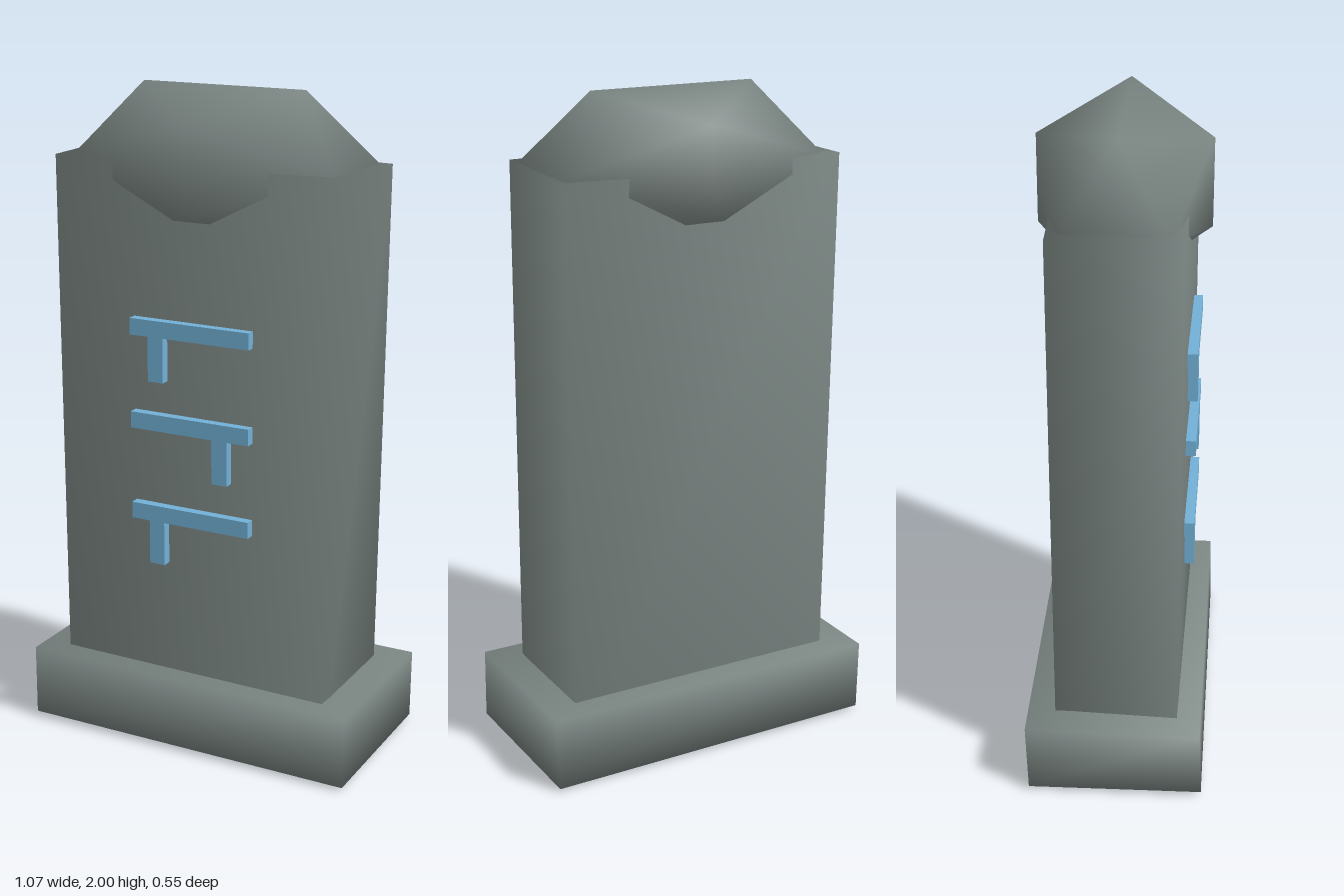
import * as THREE from 'three';
import { mergeVertices } from 'three/addons/utils/BufferGeometryUtils.js';

const stone = new THREE.MeshStandardMaterial({ color: 0x7a8582 });
stone.name = 'greyStone';
const rune = new THREE.MeshStandardMaterial({ color: 0x72b0d6 });
rune.name = 'paleBlueRune';

// Corner order: x, then y, then z, each low before high
const BLOCK_FACES = [
  1, 3, 0, 4, 1, 0, 0, 3, 2, 2, 4, 0, 1, 7, 3, 5, 1, 4,
  5, 7, 1, 3, 7, 2, 6, 4, 2, 2, 7, 6, 6, 5, 4, 7, 5, 6,
];

// Rough-hewn block with smooth normals shared at its eight corners
function roughBlock(corners) {
  const geometry = new THREE.BufferGeometry();
  geometry.setAttribute('position', new THREE.Float32BufferAttribute(corners.flat(), 3));
  geometry.setIndex(BLOCK_FACES);
  geometry.computeVertexNormals();
  return geometry;
}

function addMesh(parent, name, geometry, material) {
  const mesh = new THREE.Mesh(geometry, material);
  mesh.name = name;
  parent.add(mesh);
  return mesh;
}

export function createModel() {
  const model = new THREE.Group();
  model.name = 'standingStone';

  // Plinth
  addMesh(model, 'base', roughBlock([
    [-0.535, 0.012, -0.255], [-0.53, 0.018, 0.27],
    [-0.535, 0.232, -0.262], [-0.535, 0.235, 0.262],
    [0.525, 0.01, -0.275], [0.53, 0.012, 0.265],
    [0.53, 0.23, -0.268], [0.53, 0.23, 0.26],
  ]), stone);

  // Upright slab, one lower corner reaching just below the plinth
  addMesh(model, 'slab', roughBlock([
    [-0.435, 0, -0.18], [-0.45, 0.01, 0.19],
    [-0.46, 1.795, -0.18], [-0.455, 1.795, 0.19],
    [0.43, 0.011, -0.19], [0.43, 0.02, 0.195],
    [0.445, 1.778, -0.2], [0.425, 1.79, 0.197],
  ]), stone);

  // Faceted boulder cap with smooth normals
  let cap = new THREE.IcosahedronGeometry(1, 0);
  cap.deleteAttribute('uv');
  cap.deleteAttribute('normal');
  cap = mergeVertices(cap);
  cap.scale(0.497, 0.2525, 0.294);
  cap.translate(-0.002, 1.785, 0);
  cap.computeVertexNormals();
  addMesh(model, 'cap', cap, stone);

  // Raised runes: a bar with a stem hanging on alternating sides
  const depth = 0.037;
  [[1.315, -0.11], [1.03, 0.1], [0.745, -0.11]].forEach(([y, stemX], i) => {
    const group = new THREE.Group();
    group.name = `rune${i + 1}`;
    group.position.set(0, y, 0.2035);
    addMesh(group, 'runeBar', new THREE.BoxGeometry(0.39, 0.05, depth), rune);
    addMesh(group, 'runeStem', new THREE.BoxGeometry(0.05, 0.135, depth), rune)
      .position.set(stemX, -0.0925, 0);
    model.add(group);
  });

  return model;
}
